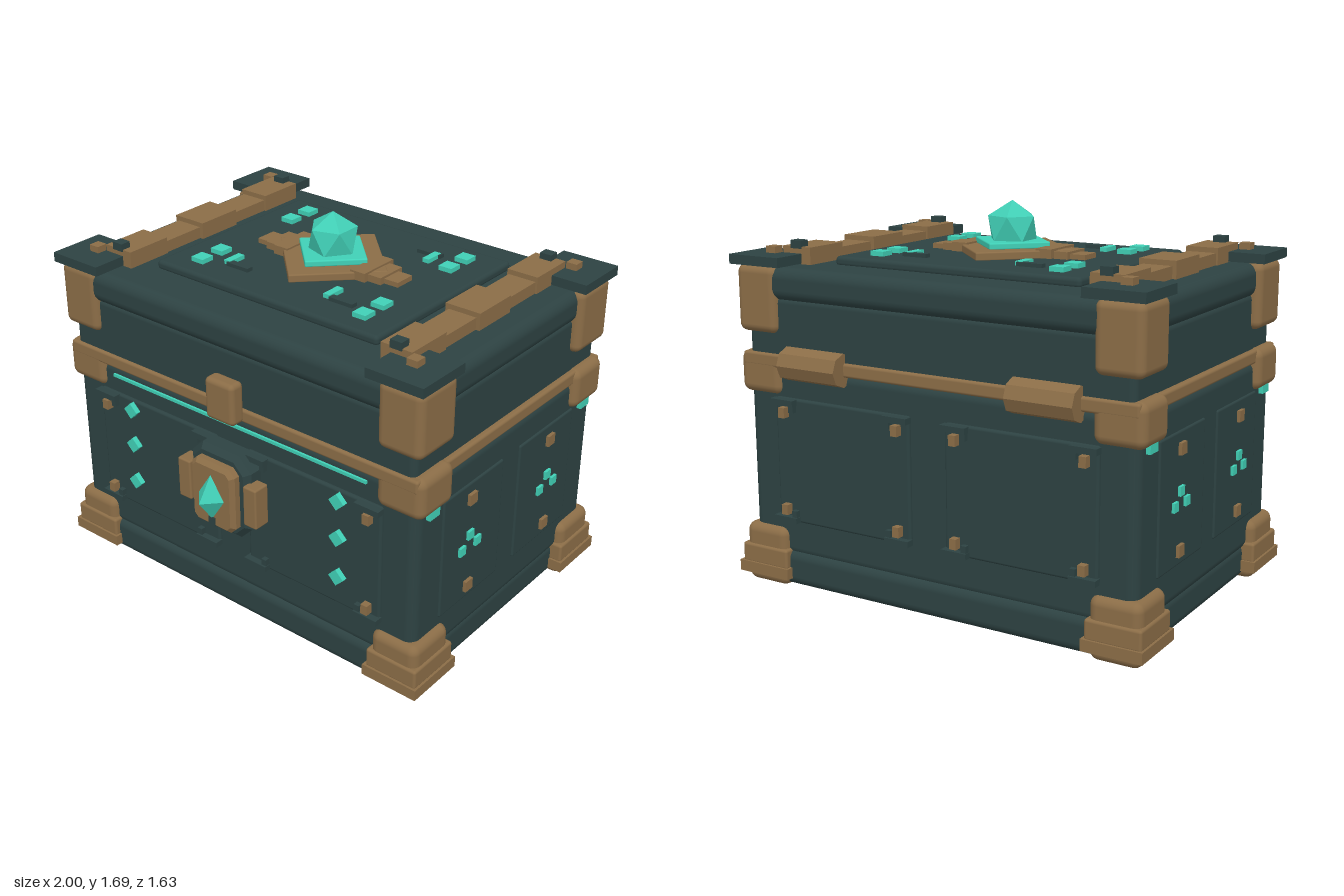
import * as THREE from 'three';
import { RoundedBoxGeometry } from 'three/addons/geometries/RoundedBoxGeometry.js';

export function createModel() {
  const material = (name, color) => {
    const m = new THREE.MeshStandardMaterial({ color });
    m.name = name;
    return m;
  };
  const dark = material('dark slate', 0x2d4242);
  const bronze = material('bronze', 0x8b6d47);
  const teal = material('bright teal', 0x40d0b6);
  const gemTeal = material('gem teal', 0x40cdb4);
  gemTeal.flatShading = true;

  const root = new THREE.Group();
  root.name = 'chest';
  const C = -0.07; // depth of the chest's middle

  const add = (name, geometry, mat, x, y, z) => {
    const mesh = new THREE.Mesh(geometry, mat);
    mesh.name = name;
    mesh.position.set(x, y, z);
    root.add(mesh);
    return mesh;
  };
  // Box from its centre and size, rounded when r is given
  const box = (name, mat, x, y, z, w, h, d, r = 0) => add(name,
    r ? new RoundedBoxGeometry(w, h, d, 3, r) : new THREE.BoxGeometry(w, h, d), mat, x, y, z);
  // Square plate turned by 45 degrees in the xz plane; half is half its diagonal
  const diamond = (name, mat, x, y, z, half, h) => {
    const m = box(name, mat, x, y, z, half * Math.SQRT2, h, half * Math.SQRT2, 0.006);
    m.rotation.y = Math.PI / 4;
    return m;
  };
  const sides = [-1, 1];

  // Body and lid
  box('base', dark, 0, 0.10, C, 1.87, 0.165, 1.35, 0.045);
  box('body', dark, 0, 0.58, C, 1.89, 0.86, 1.32, 0.045);
  box('bronzeBand', bronze, 0, 1.03, C, 1.91, 0.06, 1.36, 0.012);
  box('lidWall', dark, 0, 1.17, C, 1.86, 0.28, 1.33, 0.03);
  box('lidRoll', dark, 0, 1.363, C, 1.89, 0.146, 1.365, 0.05);
  box('lidPanel', dark, 0, 1.45, C - 0.005, 1.19, 0.045, 0.95, 0.018);
  box('lightStrip', teal, 0, 0.957, 0.59, 1.41, 0.014, 0.02);

  // Bronze corners, stepped feet and dark top caps
  for (const sx of sides) for (const sz of sides) {
    const x = sx * 0.865, z = C + sz * 0.567;
    box('foot', bronze, x, 0.145, z, 0.23, 0.27, 0.245, 0.04);
    box('footStepLow', bronze, x, 0.078, z, 0.27, 0.05, 0.285);
    box('footStepHigh', bronze, x, 0.14, z, 0.25, 0.09, 0.265, 0.012);
    box('middleCorner', bronze, x, 0.97, z, 0.225, 0.185, 0.225, 0.04);
    box('upperCorner', bronze, x, 1.293, z + sz * 0.003, 0.21, 0.29, 0.24, 0.035);
    box('topCap', dark, sx * 0.852, 1.46, C + sz * 0.575, 0.265, 0.042, 0.265);
    box('capStud', bronze, sx * 0.85, 1.495, C + sz * 0.57, 0.05, 0.03, 0.05);
    box('cornerLight', teal, sx * 0.953, 0.872, C + sz * 0.568, 0.024, 0.042, 0.066);
  }

  // Lid straps made of five segments
  for (const sx of sides) {
    for (let i = 0; i < 5; i++) {
      const raised = i % 2 === 0;
      const width = i === 2 ? 0.165 : raised ? 0.147 : 0.13;
      box('strapSegment', bronze, sx * 0.745, raised ? 1.473 : 1.461, C + (i - 2) * 0.219,
        width, raised ? 0.075 : 0.055, 0.222);
    }
    for (const sz of sides)
      box('strapPin', dark, sx * 0.745, 1.52, C + sz * 0.53, 0.055, 0.035, 0.048);
  }

  // Lid ornament with stepped wings and a faceted gem
  diamond('ornamentPlate', bronze, 0, 1.488, C, 0.295, 0.036);
  diamond('ornamentGlow', teal, 0, 1.518, C, 0.188, 0.028);
  [[0.21, 0.2, 1.514], [0.275, 0.15, 1.504], [0.345, 0.1, 1.494]].forEach(([x, d, top]) => {
    for (const sx of sides) box('ornamentWing', bronze, sx * x, top - 0.02, C, 0.075, 0.04, d);
  });
  const gem = add('lidGem', new THREE.IcosahedronGeometry(0.118), gemTeal, 0, 1.582, C);
  gem.rotation.z = Math.atan(2 / (1 + Math.sqrt(5)));

  // Small lights and grooves on the lid
  for (const sx of sides) {
    for (const z of [-0.43, -0.31, 0.16, 0.28])
      box('lidLight', teal, sx * 0.438, 1.482, z, 0.065, 0.022, 0.065);
  }
  [[-0.225, -0.35], [0.32, -0.35], [-0.325, 0.2], [0.22, 0.2]].forEach(([x, z]) =>
    box('lidLightBar', teal, x, 1.481, z, 0.033, 0.02, 0.092));
  [[-0.28, -0.39], [0.285, -0.39], [-0.26, 0.24], [0.3, 0.24]].forEach(([x, z]) =>
    box('lidRib', dark, x, 1.479, z, 0.12, 0.02, 0.032));

  // Front and back panels with corner brackets and studs
  for (const sz of sides) {
    const face = C + sz * 0.66;
    for (const sx of sides) {
      box('panel', dark, sx * 0.437, 0.597, face, 0.70, 0.555, 0.03, 0.012);
      for (const e of sides) for (const v of sides) {
        const x = sx * (0.437 + e * 0.335), y = 0.597 + v * 0.262;
        const inX = -sx * e;
        box('bracketBar', dark, x + inX * 0.04, y, face + sz * 0.025, 0.12, 0.026, 0.04);
        box('bracketPost', dark, x + inX * 0.085, y - v * 0.02, face + sz * 0.02, 0.025, 0.045, 0.035);
        if (e > 0 || sz < 0)
          box('panelStud', bronze, x + inX * 0.04, y - v * 0.045, face + sz * 0.025, 0.032, 0.045, 0.045);
      }
    }
  }
  for (const sx of sides) for (const y of [0.83, 0.655, 0.465]) {
    const m = box('frontLight', teal, sx * 0.58, y, 0.612, 0.054, 0.054, 0.034);
    m.rotation.z = Math.PI / 4;
  }

  // Side panels with studs and triple lights
  for (const sx of sides) for (const sz of sides) {
    const z = C + sz * 0.297;
    box('sidePanel', dark, sx * 0.942, 0.595, C + sz * 0.275, 0.022, 0.56, 0.425, 0.009);
    for (const y of [0.805, 0.38]) box('sideStud', bronze, sx * 0.95, y, z, 0.036, 0.05, 0.05);
    [[0.63, 0], [0.575, 0.055], [0.575, -0.055]].forEach(([y, dz]) =>
      box('sideLight', teal, sx * 0.953, y, z + dz, 0.025, 0.04, 0.04));
  }

  // Chamfered plate with its outline in the xy plane
  const plate = (name, mat, w, h, cut, depth, bevel, y, z) => {
    const a = w / 2 - bevel, b = h / 2 - bevel;
    const shape = new THREE.Shape([[-a + cut, -b], [a - cut, -b], [a, -b + cut], [a, b - cut],
      [a - cut, b], [-a + cut, b], [-a, b - cut], [-a, -b + cut]].map(p => new THREE.Vector2(...p)));
    const g = new THREE.ExtrudeGeometry(shape, { depth: depth - bevel, bevelEnabled: true,
      bevelSize: bevel, bevelThickness: bevel, bevelSegments: 1 });
    return add(name, g, mat, 0, y, z);
  };

  // Lock: dark housing, bronze face, side tabs, pointed gem
  plate('lockHousing', dark, 0.33, 0.40, 0.05, 0.09, 0.025, 0.677, 0.60);
  plate('lockFace', bronze, 0.24, 0.31, 0.02, 0.055, 0.018, 0.675, 0.68);
  for (const sx of sides)
    box('lockTab', bronze, sx * 0.185, 0.675, 0.665, 0.07, 0.19, 0.08, 0.008);
  box('keyhole', dark, 0, 0.552, 0.735, 0.035, 0.045, 0.012);
  const lockGem = add('lockGem', new THREE.ConeGeometry(1, 1, 4), gemTeal, 0, 0.672, 0.77);
  lockGem.rotation.x = Math.PI / 2;
  lockGem.scale.set(0.075, 0.08, 0.115);

  // Lid clasp
  box('clasp', bronze, 0, 1.095, 0.635, 0.155, 0.19, 0.075, 0.022);

  // Rear hinges
  const hingeShape = new THREE.CylinderGeometry(0.073, 0.073, 0.3, 8).toNonIndexed();
  hingeShape.computeVertexNormals();
  for (const sx of sides)
    add('hinge', hingeShape, bronze, sx * 0.56, 1.03, -0.748).rotation.z = Math.PI / 2;

  return root;
}
